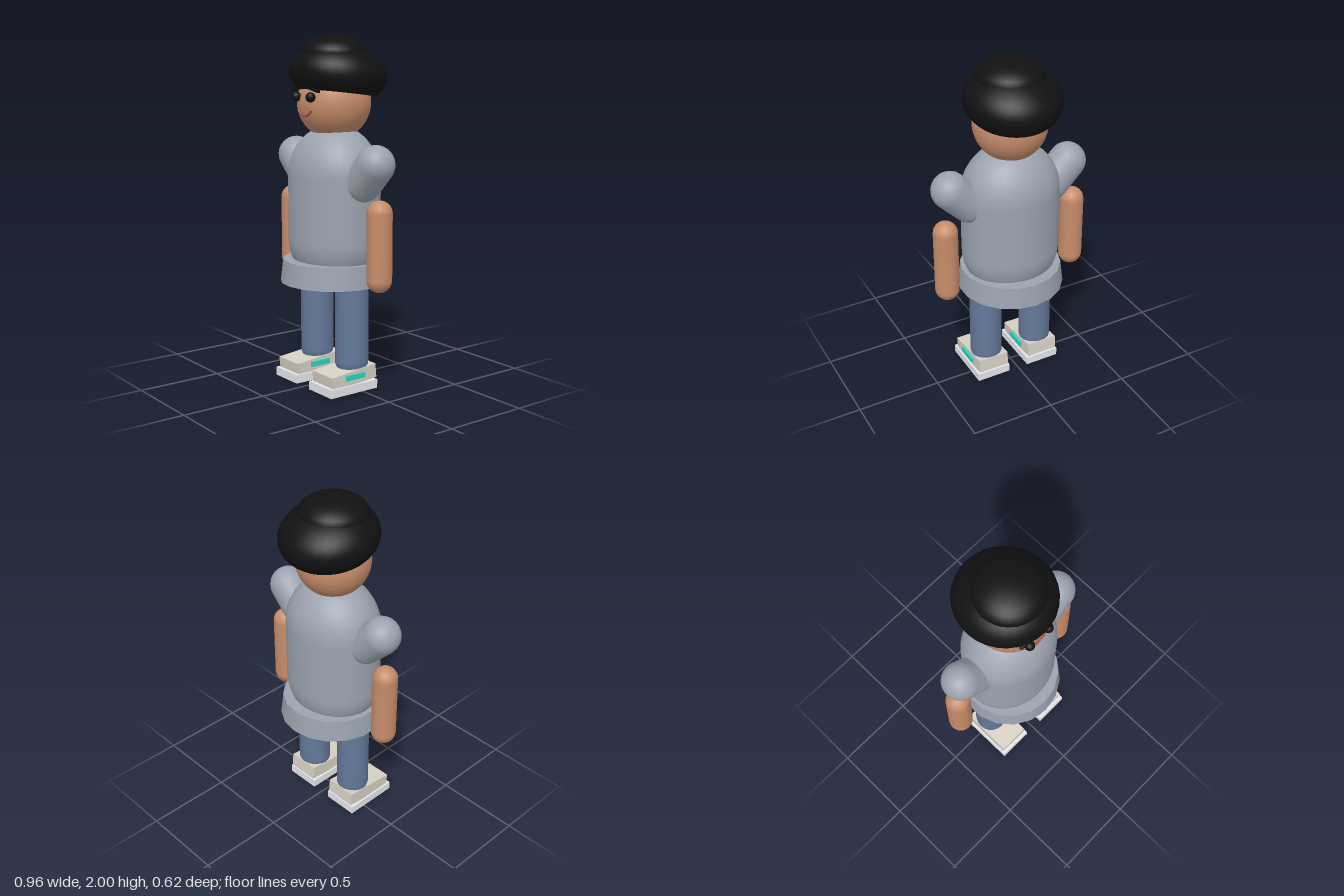
import * as THREE from 'three';

const mat = (color, extra = {}) => new THREE.MeshStandardMaterial({ color, ...extra });

export function createModel() {
  const model = new THREE.Group();
  const shirt = mat(0x9ca3af), skin = mat(0xc68c6a), denim = mat(0x64789a);
  const shoe = mat(0xd6d0c4), sole = mat(0xe5e7eb), teal = mat(0x2dd4bf);
  const black = mat(0x111111), hairMat = mat(0x111111, { side: THREE.DoubleSide });
  const lip = mat(0xa8553d);

  const add = (name, geometry, material, x, y, z) => {
    const mesh = new THREE.Mesh(geometry, material);
    mesh.name = name;
    mesh.position.set(x, y, z);
    model.add(mesh);
    return mesh;
  };
  // Capsule between two end-sphere centres in the xy plane
  const capsule = (name, r, [x0, y0], [x1, y1], material) => {
    const len = Math.hypot(x1 - x0, y1 - y0);
    const mesh = add(name, new THREE.CapsuleGeometry(r, len, 8, 20), material, (x0 + x1) / 2, (y0 + y1) / 2, 0);
    mesh.rotation.z = Math.atan2(x0 - x1, y1 - y0);
    return mesh;
  };

  // Torso and flared shirt hem
  const torso = add('torso', new THREE.CapsuleGeometry(0.29, 0.36, 12, 32), shirt, 0, 1.03, 0);
  torso.scale.z = 0.86;
  add('shirtHem', new THREE.CylinderGeometry(0.295, 0.31, 0.13, 18), shirt, 0, 0.665, 0);

  // Head and hair
  add('head', new THREE.SphereGeometry(0.21, 32, 24), skin, 0, 1.625, 0);
  const hair = add('hair', new THREE.SphereGeometry(1, 32, 20, 0, Math.PI * 2, 0, 2.214), hairMat, 0, 1.78, -0.03);
  hair.scale.set(0.272, 0.175, 0.282);
  hair.rotation.x = -0.12;
  const crown = add('hairCrown', new THREE.SphereGeometry(0.195, 32, 16), black, 0, 1.9, 0);
  crown.scale.y = 0.51;

  // Smile: lower arc of a thin ring
  const half = 1.0;
  const mouth = add('mouth', new THREE.TorusGeometry(0.072, 0.007, 8, 20, 2 * half), lip, 0, 1.627, 0.203);
  mouth.rotation.z = -Math.PI / 2 - half;

  for (const [side, s] of [['left', 1], ['right', -1]]) {
    // Face
    add(side + 'Eye', new THREE.SphereGeometry(0.028, 16, 12), black, s * 0.068, 1.66, 0.213);
    const brow = add(side + 'Brow', new THREE.BoxGeometry(0.07, 0.014, 0.02), black, s * 0.09, 1.7, 0.2);
    brow.rotation.z = -s * 0.2;

    // Arms
    capsule(side + 'Sleeve', 0.108, [s * 0.26, 1.19], [s * 0.372, 1.302], shirt);
    capsule(side + 'Forearm', 0.071, [s * 0.41, 0.671], [s * 0.41, 1.041], skin);

    // Legs
    capsule(side + 'Leg', 0.096, [s * 0.167, 0.16], [s * 0.167, 0.58], denim);

    // Shoes
    add(side + 'Sole', new THREE.BoxGeometry(0.21, 0.05, 0.33), sole, s * 0.167, 0.025, 0.06);
    const upper = add(side + 'ShoeUpper', new THREE.BoxGeometry(0.19, 0.082, 0.31), shoe, s * 0.167, 0.087, 0.052);
    upper.rotation.x = 0.1;
    add(side + 'ShoeStripe', new THREE.BoxGeometry(0.02, 0.03, 0.13), teal, s * 0.167 + 0.098, 0.095, 0.05);
  }
  return model;
}
